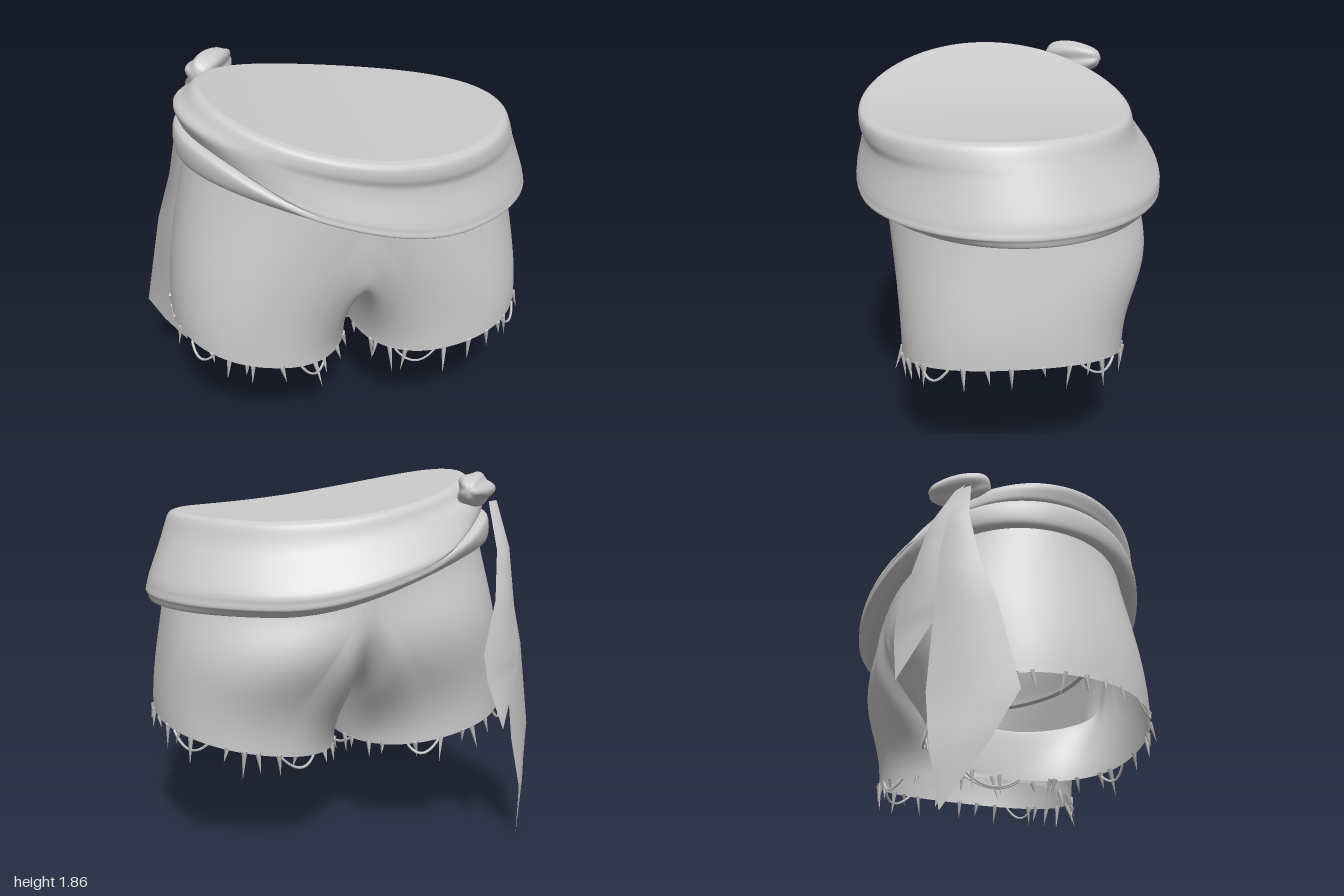
import * as THREE from 'three';
import { mergeVertices, mergeGeometries } from 'three/addons/utils/BufferGeometryUtils.js';

const V = (x, y, z) => new THREE.Vector3(x, y, z);
const mat = new THREE.MeshStandardMaterial({ color: 0xcccccc, side: THREE.DoubleSide });
const { lerp, smoothstep } = THREE.MathUtils;
const MID = 0.035; // x of the centre seam

// Heights of the sash's slanted top and bottom edges
const topY = x => 1.66 + 0.2 * ((0.5 - x) / 1.2) ** 2;
const bottomY = x => 1.245 + 0.26 * smoothstep(-x, -0.5, 0.8);

// Surface from a rule fn(u, v) -> Vector3
function grid(fn, nu, nv, flip = false) {
  const pos = [], idx = [];
  for (let j = 0; j <= nv; j++)
    for (let i = 0; i <= nu; i++) pos.push(...fn(i / nu, j / nv).toArray());
  for (let j = 0; j < nv; j++)
    for (let i = 0; i < nu; i++) {
      const a = j * (nu + 1) + i, b = a + 1, c = a + nu + 1, d = c + 1;
      if (flip) idx.push(a, c, b, b, c, d);
      else idx.push(a, b, c, b, d, c);
    }
  const g = new THREE.BufferGeometry();
  g.setAttribute('position', new THREE.Float32BufferAttribute(pos, 3));
  g.setIndex(idx);
  return g;
}

function smooth(geo) {
  const g = mergeVertices(geo, 1e-4);
  g.computeVertexNormals();
  return g;
}

function addMesh(parent, name, geo) {
  const m = new THREE.Mesh(geo, mat);
  m.name = name;
  parent.add(m);
}

// Leg hem: angle 0 is the outside, PI/2 the front, PI the inner thigh
function hem(side, a) {
  const c = Math.cos(a), s = Math.sin(a);
  const d = 0.465 + 0.45 * Math.sign(c) * Math.abs(c) ** 0.9;
  const z = 0.025 + 0.535 * Math.sign(s) * Math.abs(s) ** 0.85;
  return V(MID + side * d, 0.5 + 0.17 * (d / 0.93) ** 1.5, z);
}

// Seam running from the front waist under the crotch to the back waist
const seam = new THREE.CatmullRomCurve3([
  V(MID, 1.38, 0.62), V(MID, 1.13, 0.61), V(MID, 0.95, 0.565), V(MID, 0.84, 0.38), V(MID, 0.77, 0.05),
  V(MID, 0.81, -0.25), V(MID, 0.92, -0.49), V(MID, 1.13, -0.63), V(MID, 1.38, -0.65)]);

// One half of the shorts: outer columns rise to the waist, inner ones to the seam
function shortsHalf(side) {
  const A = 1.75, span = 2 * Math.PI;
  return grid((u, t) => {
    const a = -A + u * span;
    const p0 = hem(side, a);
    let p1, t1;
    if (a <= A && u > 0) {
      const w = (a / A) * Math.PI / 2, s = Math.sin(w);
      const x = MID + side * (side > 0 ? 0.85 : 0.78) * Math.cos(w);
      p1 = V(x, bottomY(x) + 0.05, s > 0 ? 0.62 * s : 0.65 * s);
      t1 = p1.clone().sub(p0);
    } else {
      const s = u > 0 ? Math.min(1, (a - A) / (span - 2 * A)) : 1;
      p1 = seam.getPoint(s);
      const e = Math.abs(2 * s - 1) ** 5;
      t1 = V((MID - p0.x) * 1.6, 0, 0).lerp(p1.clone().sub(p0), e);
    }
    const t0 = V(0, (p1.y - p0.y) * 1.1, 0);
    const q = t * t, c = q * t;
    const p = p0.clone().multiplyScalar(2 * c - 3 * q + 1)
      .addScaledVector(t0, c - 2 * q + t)
      .addScaledVector(p1, 3 * q - 2 * c)
      .addScaledVector(t1, c - q);
    // Fuller seat at the back
    const back = Math.max(0, -Math.sin(a));
    p.z -= 0.07 * back * Math.sin(Math.PI * t ** 1.3) ** 2;
    return p;
  }, 88, 18, side > 0);
}

// Sash outline per level: v down the band, right x, left x, front z, back z
const levels = [
  [0, 0.80, -0.66, 0.68, -0.57], [0.04, 0.83, -0.69, 0.72, -0.60], [0.2, 0.86, -0.735, 0.725, -0.62],
  [0.32, 0.88, -0.785, 0.71, -0.64], [0.45, 0.90, -0.77, 0.70, -0.67], [0.75, 0.955, -0.80, 0.745, -0.755],
  [0.9, 0.97, -0.80, 0.75, -0.75], [1, 0.95, -0.775, 0.66, -0.69], [1.1, 0.87, -0.73, 0.59, -0.62]];

function sashPoint(v, a, inset = 0) {
  let i = 0;
  while (i < levels.length - 2 && v > levels[i + 1][0]) i++;
  const [l, m] = [levels[i], levels[i + 1]];
  const k = (v - l[0]) / (m[0] - l[0]);
  const [xr, xl, zf, zb] = [1, 2, 3, 4].map(n => lerp(l[n], m[n], k));
  const c = Math.cos(a), s = Math.sin(a);
  const x = (xr + xl) / 2 + ((xr - xl) / 2 - inset) * c;
  const z = (zf + zb) / 2 + ((zf - zb) / 2 - inset) * s;
  const h = v > 1 ? 1 - (v - 1) * 0.3 : v;
  return V(x, lerp(topY(x), bottomY(x), h), z);
}

function sashGeometry() {
  const n = 72, rows = 40;
  const curves = [...Array(n + 1).keys()].map(i => {
    const a = (i % n) / n * Math.PI * 2;
    // The band splits into two folds towards the knot side
    const w = smoothstep(-sashPoint(0.5, a).x, 0.2, 0.72);
    const g = 0.57 + 0.25 * (1 - w);
    const pts = [[0], [0.04], [0.2], [0.33], [g - 0.1], [g - 0.03, 0.02 * w], [g, 0.06 * w],
      [g + 0.02, 0.02 * w], [g + 0.08], [0.93], [1], [1.1]];
    return new THREE.CatmullRomCurve3(pts.map(([v, inset]) => sashPoint(v, a, inset)));
  });
  return smooth(grid((u, v) => curves[Math.round(u * n)].getPoint(v), n, rows));
}

// Cloth tail from rows of [left corner, right corner], slightly puffed between edges
function tailGeometry(rows, puff) {
  const n = rows.length - 1;
  return smooth(grid((u, v) => {
    const f = Math.min(n - 1, Math.floor(v * n + 1e-6)), k = v * n - f;
    const edge = e => V(...rows[f][e]).lerp(V(...rows[f + 1][e]), k);
    const p = edge(0).lerp(edge(1), u);
    const b = puff * Math.sin(Math.PI * u) * Math.sin(Math.PI * v);
    return p.add(V(-0.6 * b, 0, -0.8 * b));
  }, 4, n * 3));
}

// Pleated knot bundle, fuller towards the side the tails hang from
function knotGeometry() {
  const along = V(0.6, 0.03, -0.8).normalize();
  const out = V(-0.75, 0.3, -0.55).normalize();
  const up = along.clone().cross(out).normalize();
  return smooth(grid((u, v) => {
    const a = u === 1 ? 0 : u * Math.PI * 2, t = v * Math.PI;
    const pleat = 1 + 0.1 * Math.cos(5 * a + 3 * v) + 0.08 * Math.cos(3 * a + 1);
    const r = Math.max(0, Math.sin(t)) ** 0.65 * (0.95 + 0.15 * Math.cos(t)) * pleat;
    return V(-0.56, 1.775, -0.44)
      .addScaledVector(along, -0.16 * Math.cos(t))
      .addScaledVector(out, 0.085 * r * Math.cos(a))
      .addScaledVector(up, 0.085 * r * Math.sin(a));
  }, 30, 14));
}

// Frayed hem: tapering strands and hanging loops
function fringeGeometry(side) {
  let seed = side > 0 ? 11 : 29;
  const rnd = () => (seed = (seed * 16807) % 2147483647) / 2147483647;
  for (let i = 0; i < 5; i++) rnd();
  const parts = [], n = 32;
  for (let i = 0; i < n; i++) {
    const a = (i + 0.8 * rnd()) / n * Math.PI * 2;
    const p = hem(side, a);
    const out = V(side * Math.cos(a), 0, Math.sin(a));
    if (i % 6 === 3) {
      const q = hem(side, a + 0.3 + 0.2 * rnd());
      const mid = p.clone().lerp(q, 0.5).addScaledVector(out, 0.04);
      mid.y -= 0.11;
      parts.push(new THREE.TubeGeometry(new THREE.QuadraticBezierCurve3(p, mid, q), 10, 0.007, 4));
    } else {
      const len = 0.06 + 0.09 * rnd();
      const g = new THREE.ConeGeometry(0.014, len, 4);
      g.translate(0, len / 2 - 0.01, 0);
      const dir = V((rnd() - 0.5) * 0.5, -1, (rnd() - 0.5) * 0.5).addScaledVector(out, 0.12).normalize();
      g.applyQuaternion(new THREE.Quaternion().setFromUnitVectors(V(0, 1, 0), dir));
      parts.push(g.translate(p.x, p.y, p.z));
    }
  }
  return mergeGeometries(parts);
}

export function createModel() {
  const model = new THREE.Group();
  model.name = 'shortsWithSash';

  addMesh(model, 'shorts', smooth(mergeGeometries([shortsHalf(1), shortsHalf(-1)])));
  addMesh(model, 'leftFringe', fringeGeometry(1));
  addMesh(model, 'rightFringe', fringeGeometry(-1));

  addMesh(model, 'sash', sashGeometry());
  // Closed top inside the sash rim
  addMesh(model, 'waistCap', smooth(grid((u, v) => {
    const p = sashPoint(0, (u === 1 ? 0 : u) * Math.PI * 2);
    const q = V(lerp(0.07, p.x, v), 0, lerp(0.055, p.z, v));
    q.y = topY(q.x);
    return q;
  }, 72, 8)));

  const tie = new THREE.Group();
  tie.name = 'sashTie';
  model.add(tie);
  addMesh(tie, 'knot', knotGeometry());
  addMesh(tie, 'longTail', tailGeometry([
    [[-0.63, 1.72, -0.47], [-0.69, 1.72, -0.42]],
    [[-0.67, 1.5, -0.55], [-0.755, 1.5, -0.45]],
    [[-0.68, 1.2, -0.58], [-0.82, 1.2, -0.41]],
    [[-0.69, 0.95, -0.59], [-0.90, 0.97, -0.36]],
    [[-0.72, 0.55, -0.62], [-1.0, 0.5, -0.29]],
    [[-0.78, 0.28, -0.615], [-0.92, 0.28, -0.4]],
    [[-0.8, 0.0, -0.57], [-0.8, 0.0, -0.57]]], 0.02));
  addMesh(tie, 'shortTail', tailGeometry([
    [[-0.62, 1.72, -0.48], [-0.68, 1.72, -0.45]],
    [[-0.61, 1.5, -0.6], [-0.71, 1.5, -0.54]],
    [[-0.58, 1.27, -0.66], [-0.72, 1.27, -0.58]],
    [[-0.50, 1.02, -0.715], [-0.75, 1.0, -0.6]],
    [[-0.52, 0.88, -0.725], [-0.75, 0.9, -0.6]],
    [[-0.61, 0.64, -0.73], [-0.61, 0.64, -0.73]]], 0.02));

  return model;
}
